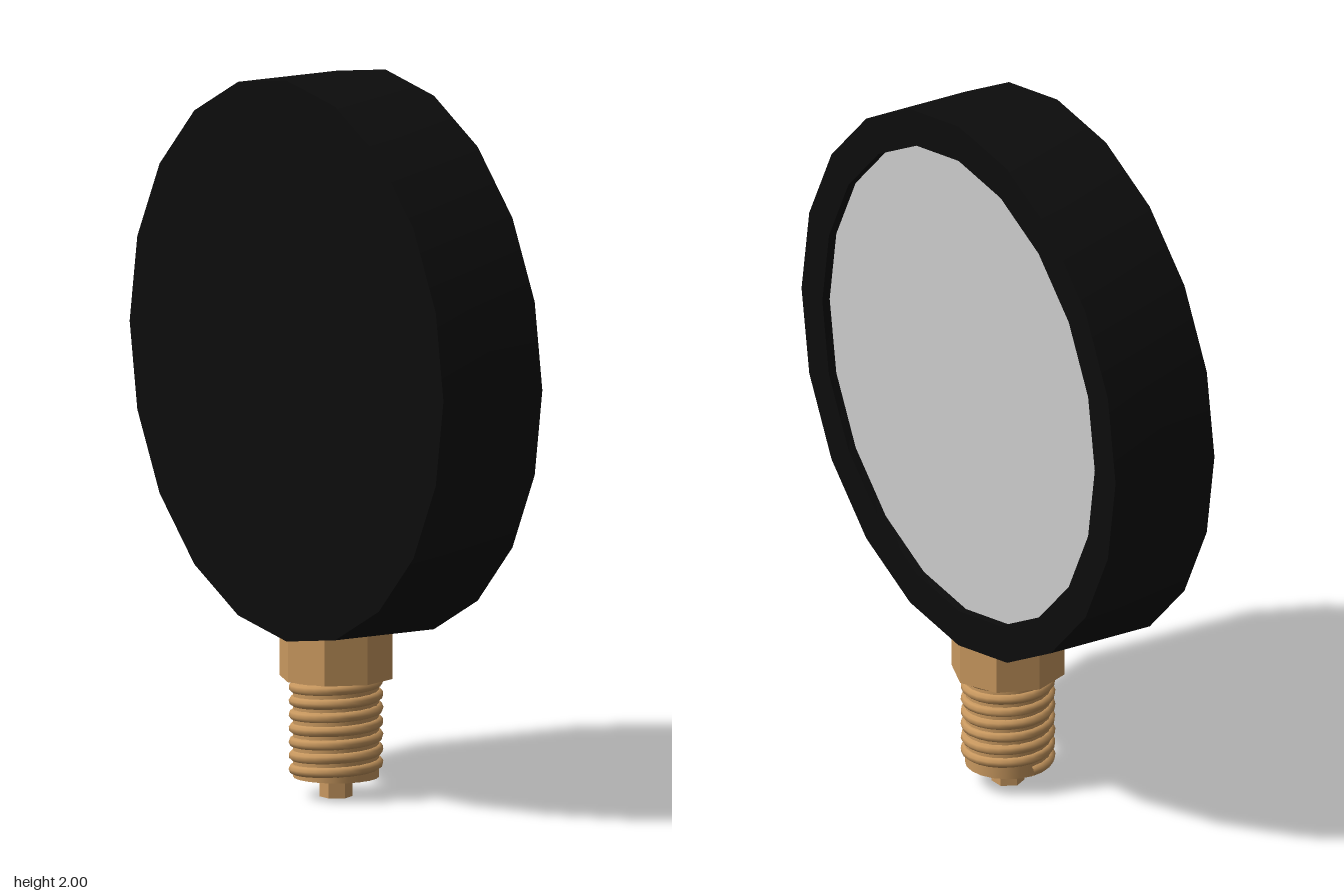
import * as THREE from 'three';
import { toCreasedNormals } from 'three/addons/utils/BufferGeometryUtils.js';

const DISC_Y = 1.222; // height of the gauge centre

export function createModel() {
  const group = new THREE.Group();
  const black = new THREE.MeshStandardMaterial({ color: 0x0c0c0c });
  const grey = new THREE.MeshStandardMaterial({ color: 0xcccccc });
  const brass = new THREE.MeshStandardMaterial({ color: 0xc8985f });
  const brassFlat = new THREE.MeshStandardMaterial({ color: 0xc8985f, flatShading: true });
  const brassThread = new THREE.MeshStandardMaterial({ color: 0xc8985f, side: THREE.DoubleSide });

  const add = (name, geometry, material, y = 0) => {
    const mesh = new THREE.Mesh(geometry, material);
    mesh.name = name;
    mesh.position.y = y;
    group.add(mesh);
    return mesh;
  };
  // upright prism or cylinder between two heights
  const post = (name, radius, y0, y1, sides, material) =>
    add(name, toCreasedNormals(new THREE.CylinderGeometry(radius, radius, y1 - y0, sides), 0.5),
      material, (y0 + y1) / 2);

  // round case with a raised rim around the recess, facing +x
  const profile = [[0, -0.162], [0.778, -0.162], [0.778, 0.162], [0.675, 0.162], [0.675, 0.138]]
    .map(([r, h]) => new THREE.Vector2(r, h));
  const caseGeometry = new THREE.LatheGeometry(profile, 20).rotateZ(-Math.PI / 2);
  add('gaugeCase', toCreasedNormals(caseGeometry, 0.5), black, DISC_Y);

  // dial plate at the bottom of the recess
  const dial = add('dialFace', new THREE.CircleGeometry(0.675, 20).rotateY(Math.PI / 2), grey, DISC_Y);
  dial.position.x = 0.138;

  // stem: nut, threaded shank and tip
  post('nut', 0.157, 0.33, 0.5, 8, brassFlat);
  post('shank', 0.118, 0.055, 0.34, 20, brass);
  post('tip', 0.045, 0, 0.06, 6, brassFlat);

  // right-handed helical thread wound round the shank
  class Helix extends THREE.Curve {
    getPoint(t, target = new THREE.Vector3()) {
      const a = Math.PI / 2 + t * 7 * Math.PI * 2;
      return target.set(0.115 * Math.cos(a), 0.07 + t * 0.265, -0.115 * Math.sin(a));
    }
  }
  add('thread', new THREE.TubeGeometry(new Helix(), 7 * 24, 0.015, 8), brassThread);

  return group;
}
